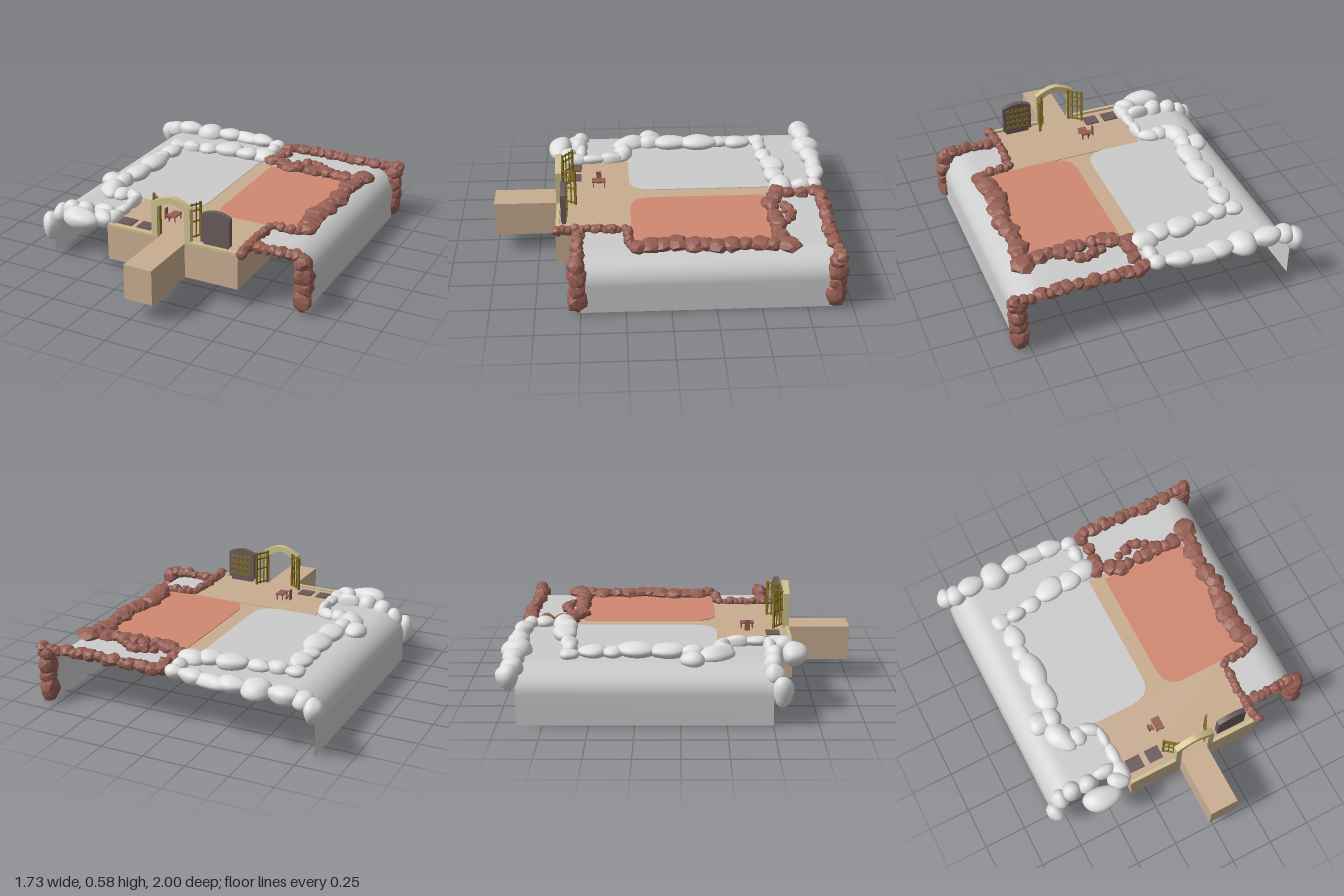
import * as THREE from 'three';
import { mergeVertices } from 'three/addons/utils/BufferGeometryUtils.js';

const mat = (name, color, extra = {}) => Object.assign(new THREE.MeshStandardMaterial({ color, ...extra }), { name });

export function createModel() {
  const root = new THREE.Group();
  root.name = 'rockyTerrace';
  const M = {
    sheet: mat('paleGrey', 0xcccccc, { side: THREE.DoubleSide }),
    tan: mat('tan', 0xc8ad90),
    lawn: mat('terracotta', 0xd08870),
    white: mat('whiteStone', 0xdedede),
    brown: mat('brownStone', 0x965f54, { flatShading: true }),
    cream: mat('creamTrim', 0xcfc08e),
    gold: mat('darkGold', 0x857020),
    dark: mat('darkPanel', 0x6b5b5b),
  };
  const add = (name, geo, m, parent = root) => {
    const mesh = new THREE.Mesh(geo, m);
    mesh.name = name;
    parent.add(mesh);
    return mesh;
  };
  // Box given by its limits
  const box = (name, m, x0, x1, y0, y1, z0, z1, parent = root) => {
    const b = add(name, new THREE.BoxGeometry(x1 - x0, y1 - y0, z1 - z0), m, parent);
    b.position.set((x0 + x1) / 2, (y0 + y1) / 2, (z0 + z1) / 2);
    return b;
  };
  let seed = 7;
  const rnd = () => (seed = (seed * 16807) % 2147483647) / 2147483647;

  // Floor and ramp
  box('terraceFloor', M.tan, -0.355, 0.465, 0.115, 0.32, 0.21, 0.635);
  box('entranceRamp', M.tan, -0.03, 0.14, 0.115, 0.32, 0.635, 1);
  box('middlePath', M.tan, -0.14, 0.24, 0.25, 0.316, -0.62, 0.21);

  // Two raised beds, each with one rounded front corner
  const bed = (name, m, inner, outer, back) => {
    const s = new THREE.Shape(), d = Math.sign(outer - inner), r = 0.13, f = 0.21;
    s.moveTo(inner, -back);
    s.lineTo(inner, -f + r);
    s.quadraticCurveTo(inner, -f, inner + d * r, -f);
    s.lineTo(outer, -f);
    s.lineTo(outer, -back);
    const g = new THREE.ExtrudeGeometry(s, { depth: 0.1, bevelEnabled: false, curveSegments: 12 });
    g.rotateX(-Math.PI / 2);
    add(name, g, m).position.y = 0.22;
  };
  bed('greyBed', M.sheet, 0.005, -0.56, -0.62);
  bed('terracottaBed', M.lawn, 0.1, 0.63, -0.58);

  // Curved cover sheets that fall to the ground on both sides
  const sideSheet = (name, s) => {
    const prof = [[0.55, 0.315]];
    for (let i = 0; i <= 12; i++) {
      const a = (i / 12) * Math.PI / 2;
      prof.push([0.65 + 0.165 * Math.sin(a), 0.175 + 0.14 * Math.cos(a)]);
    }
    prof.push([0.815, 0.005]);
    const pos = [], idx = [];
    prof.forEach(([x, y], i) => {
      pos.push(s * x, y, 0.5, s * x, y, -0.89);
      if (i) {
        const a = 2 * i - 2;
        idx.push(...(s > 0 ? [a, a + 2, a + 1, a + 1, a + 2, a + 3] : [a, a + 1, a + 2, a + 1, a + 3, a + 2]));
      }
    });
    const g = new THREE.BufferGeometry();
    g.setAttribute('position', new THREE.Float32BufferAttribute(pos, 3));
    g.setIndex(idx);
    g.computeVertexNormals();
    add(name, g, M.sheet);
  };
  sideSheet('leftSideSheet', 1);
  sideSheet('rightSideSheet', -1);
  box('backSheet', M.sheet, -0.56, 0.56, 0.312, 0.315, -0.89, -0.57);
  box('frontRightSheet', M.sheet, -0.56, -0.35, 0.312, 0.315, 0.2, 0.5);
  box('frontLeftSheet', M.sheet, 0.46, 0.56, 0.312, 0.315, 0.2, 0.5);

  // Rocks: spheres pushed in and out by smooth waves or by facet jitter
  const rock = (parent, smooth, x, y, z, rx, ry, rz, yaw = 0) => {
    let g = new THREE.IcosahedronGeometry(1, smooth ? 4 : 1);
    g.deleteAttribute('uv');
    g.deleteAttribute('normal');
    g = mergeVertices(g, 1e-3);
    const p = g.attributes.position, v = new THREE.Vector3(), k = rnd() * 9;
    for (let i = 0; i < p.count; i++) {
      v.fromBufferAttribute(p, i);
      const f = smooth
        ? 1 + 0.09 * Math.sin(2.6 * v.x + k) + 0.07 * Math.sin(3.1 * v.y + 2 * k) + 0.08 * Math.sin(2.8 * v.z + 3 * k)
        : 0.84 + 0.3 * rnd();
      v.multiplyScalar(f);
      p.setXYZ(i, v.x * rx, v.y * ry, v.z * rz);
    }
    g.computeVertexNormals();
    const m = add('rock', g, smooth ? M.white : M.brown, parent);
    m.position.set(x, y, z);
    m.rotation.y = yaw;
  };
  const group = (name) => {
    const g = new THREE.Group();
    g.name = name;
    root.add(g);
    return g;
  };

  // White boulders: x, y, z, radii, turn
  const whiteWall = (name, list) => {
    const g = group(name);
    list.forEach((r) => rock(g, true, ...r));
  };
  whiteWall('whiteBackWall', [
    [-0.82, 0.28, -0.93, 0.05, 0.07, 0.06], [-0.75, 0.32, -0.91, 0.07, 0.045, 0.06],
    [-0.64, 0.33, -0.91, 0.09, 0.045, 0.065], [-0.49, 0.335, -0.915, 0.1, 0.05, 0.08],
    [-0.36, 0.335, -0.92, 0.08, 0.045, 0.06], [-0.24, 0.335, -0.925, 0.1, 0.04, 0.06, -0.1],
    [-0.11, 0.335, -0.91, 0.08, 0.04, 0.055, -0.2], [0, 0.33, -0.89, 0.05, 0.04, 0.045],
    [0.01, 0.33, -0.81, 0.04, 0.04, 0.06],
  ]);
  whiteWall('whiteInnerWall', [
    [0, 0.335, -0.69, 0.075, 0.045, 0.08], [-0.11, 0.335, -0.665, 0.075, 0.045, 0.06, 0.2],
    [-0.24, 0.34, -0.665, 0.1, 0.045, 0.07, 0.25], [-0.38, 0.335, -0.63, 0.07, 0.035, 0.045],
    [-0.48, 0.335, -0.62, 0.07, 0.035, 0.045], [-0.58, 0.33, -0.61, 0.055, 0.035, 0.05],
    [-0.565, 0.335, -0.49, 0.06, 0.04, 0.08], [-0.575, 0.335, -0.38, 0.05, 0.035, 0.06],
    [-0.56, 0.345, -0.24, 0.07, 0.045, 0.12], [-0.57, 0.34, -0.08, 0.07, 0.045, 0.11],
    [-0.66, 0.33, 0.06, 0.06, 0.05, 0.07], [-0.58, 0.34, 0.06, 0.06, 0.04, 0.07],
    [-0.59, 0.33, 0.2, 0.07, 0.05, 0.1, 0.4], [-0.5, 0.33, 0.24, 0.06, 0.04, 0.05],
    [-0.42, 0.335, 0.23, 0.06, 0.035, 0.045, -0.5], [-0.37, 0.335, 0.31, 0.035, 0.035, 0.07],
    [-0.37, 0.335, 0.42, 0.035, 0.03, 0.07],
  ]);
  whiteWall('whiteFrontWall', [
    [-0.38, 0.32, 0.54, 0.055, 0.05, 0.08], [-0.46, 0.33, 0.5, 0.07, 0.05, 0.045],
    [-0.57, 0.32, 0.51, 0.07, 0.055, 0.05], [-0.67, 0.3, 0.5, 0.07, 0.06, 0.05],
    [-0.53, 0.32, 0.635, 0.115, 0.07, 0.065, -0.1], [-0.41, 0.33, 0.59, 0.065, 0.05, 0.05, -0.5],
    [-0.75, 0.27, 0.51, 0.055, 0.06, 0.05], [-0.795, 0.19, 0.55, 0.05, 0.08, 0.06, 0.4],
  ]);

  // Brown rocks strung along a path of [x, z] points
  const brownWall = (name, pts, size, y = 0.33) => {
    const g = group(name);
    const path = new THREE.CurvePath();
    for (let i = 1; i < pts.length; i++) {
      path.add(new THREE.LineCurve(new THREE.Vector2(...pts[i - 1]), new THREE.Vector2(...pts[i])));
    }
    const n = Math.round(path.getLength() / (size * 1.35));
    for (let i = 0; i <= n; i++) {
      const p = path.getPoint(i / n), s = size * (0.8 + 0.45 * rnd());
      rock(g, false, p.x + (rnd() - 0.5) * size * 0.5, y + (rnd() - 0.5) * 0.012, p.y + (rnd() - 0.5) * size * 0.5,
        s, Math.min(s, 0.036), s, rnd() * 6);
    }
  };
  brownWall('brownMiddleWall', [[0.09, -0.88], [0.1, -0.76], [0.08, -0.65]], 0.052);
  brownWall('brownBackWall', [[0.12, -0.91], [0.45, -0.9], [0.82, -0.91]], 0.037);
  brownWall('brownInnerWall', [[0.1, -0.66], [0.2, -0.61], [0.42, -0.61], [0.66, -0.62]], 0.048);
  brownWall('brownExtraRocks', [[0.25, -0.68], [0.34, -0.71], [0.42, -0.68]], 0.03);
  brownWall('brownSideWall', [[0.68, -0.64], [0.67, -0.4], [0.69, -0.25], [0.65, -0.05], [0.67, 0.19]], 0.057);
  brownWall('brownSmallWall', [[0.64, 0.22], [0.48, 0.23], [0.47, 0.42], [0.48, 0.63]], 0.026);
  brownWall('brownFrontWall', [[0.48, 0.5], [0.65, 0.51], [0.8, 0.51]], 0.033);
  // Rock stacks hanging down over the sheet's edge
  for (const z of [0.515, -0.905]) {
    const g = group('hangingRocks');
    rock(g, false, 0.8, 0.3, z, 0.055, 0.05, 0.05);
    rock(g, false, 0.805, 0.225, z, 0.06, 0.07, 0.053, 1);
    rock(g, false, 0.8, 0.085, z, 0.065, 0.08, 0.055, 2);
    rock(g, false, 0.805, 0.155, z, 0.055, 0.06, 0.05, 3);
  }

  // Cream edging and arched gateway
  box('edgingRight', M.cream, -0.35, -0.065, 0.318, 0.335, 0.615, 0.635);
  box('edgingLeft', M.cream, 0.175, 0.465, 0.318, 0.335, 0.615, 0.635);
  const arch = new THREE.Shape();
  arch.moveTo(-0.12, 0);
  arch.lineTo(-0.12, 0.21);
  arch.quadraticCurveTo(-0.05, 0.255, 0, 0.258);
  arch.quadraticCurveTo(0.05, 0.255, 0.12, 0.21);
  arch.lineTo(0.12, 0);
  arch.lineTo(0.085, 0);
  arch.lineTo(0.085, 0.185);
  arch.quadraticCurveTo(0.04, 0.22, 0, 0.222);
  arch.quadraticCurveTo(-0.04, 0.22, -0.085, 0.185);
  arch.lineTo(-0.085, 0);
  add('gateArch', new THREE.ExtrudeGeometry(arch, { depth: 0.035, bevelEnabled: false }), M.cream)
    .position.set(0.055, 0.32, 0.602);

  // Open gate leaves made of bars, hinged at (x, z)
  const leaf = (name, x, z, dx, dz) => {
    const g = group(name), w = Math.hypot(dx, dz);
    g.position.set(x, 0.33, z);
    g.rotation.y = Math.atan2(-dz, dx);
    for (let i = 0; i < 4; i++) {
      const c = (i / 3) * w, t = i % 3 ? 0.003 : 0.006;
      box('upright', M.gold, c - t, c + t, 0, 0.21, -t, t, g);
    }
    for (const y of [0.01, 0.1, 0.165, 0.2]) box('rail', M.gold, 0, w, y - 0.004, y + 0.004, -0.004, 0.004, g);
  };
  leaf('rightGateLeaf', -0.03, 0.6, -0.07, -0.055);
  leaf('leftGateLeaf', 0.142, 0.6, 0.04, -0.075);

  // Arched dark cabinet with gold racks on its back
  const cab = new THREE.Shape();
  cab.moveTo(-0.088, 0);
  cab.lineTo(0.088, 0);
  cab.lineTo(0.088, 0.165);
  cab.quadraticCurveTo(0, 0.215, -0.088, 0.165);
  add('cabinet', new THREE.ExtrudeGeometry(cab, { depth: 0.03, bevelEnabled: false }), M.dark)
    .position.set(0.312, 0.34, 0.574);
  box('cabinetFoot', M.dark, 0.24, 0.385, 0.318, 0.342, 0.578, 0.6);
  for (let r = 0; r < 4; r++) {
    const y = 0.362 + r * 0.038;
    box('rackShelf', M.gold, 0.24, 0.385, y, y + 0.006, 0.567, 0.575);
    for (let c = 0; c < 5; c++) box('rackItem', M.gold, 0.246 + c * 0.029, 0.262 + c * 0.029, y, y + 0.02, 0.568, 0.575);
  }

  // Floor mats, table and stool
  box('matA', M.dark, -0.325, -0.235, 0.318, 0.327, 0.495, 0.575);
  box('matB', M.dark, -0.2, -0.115, 0.318, 0.327, 0.495, 0.575);
  box('tableTop', M.brown, -0.08, -0.03, 0.352, 0.36, 0.35, 0.43);
  for (const x of [-0.076, -0.04]) for (const z of [0.354, 0.42]) box('tableLeg', M.brown, x, x + 0.006, 0.32, 0.353, z, z + 0.006);
  box('stoolSeat', M.brown, -0.115, -0.085, 0.338, 0.345, 0.375, 0.405);
  box('stoolBack', M.brown, -0.115, -0.109, 0.32, 0.385, 0.375, 0.405);
  box('stoolLeg', M.brown, -0.091, -0.085, 0.32, 0.34, 0.375, 0.405);
  return root;
}
